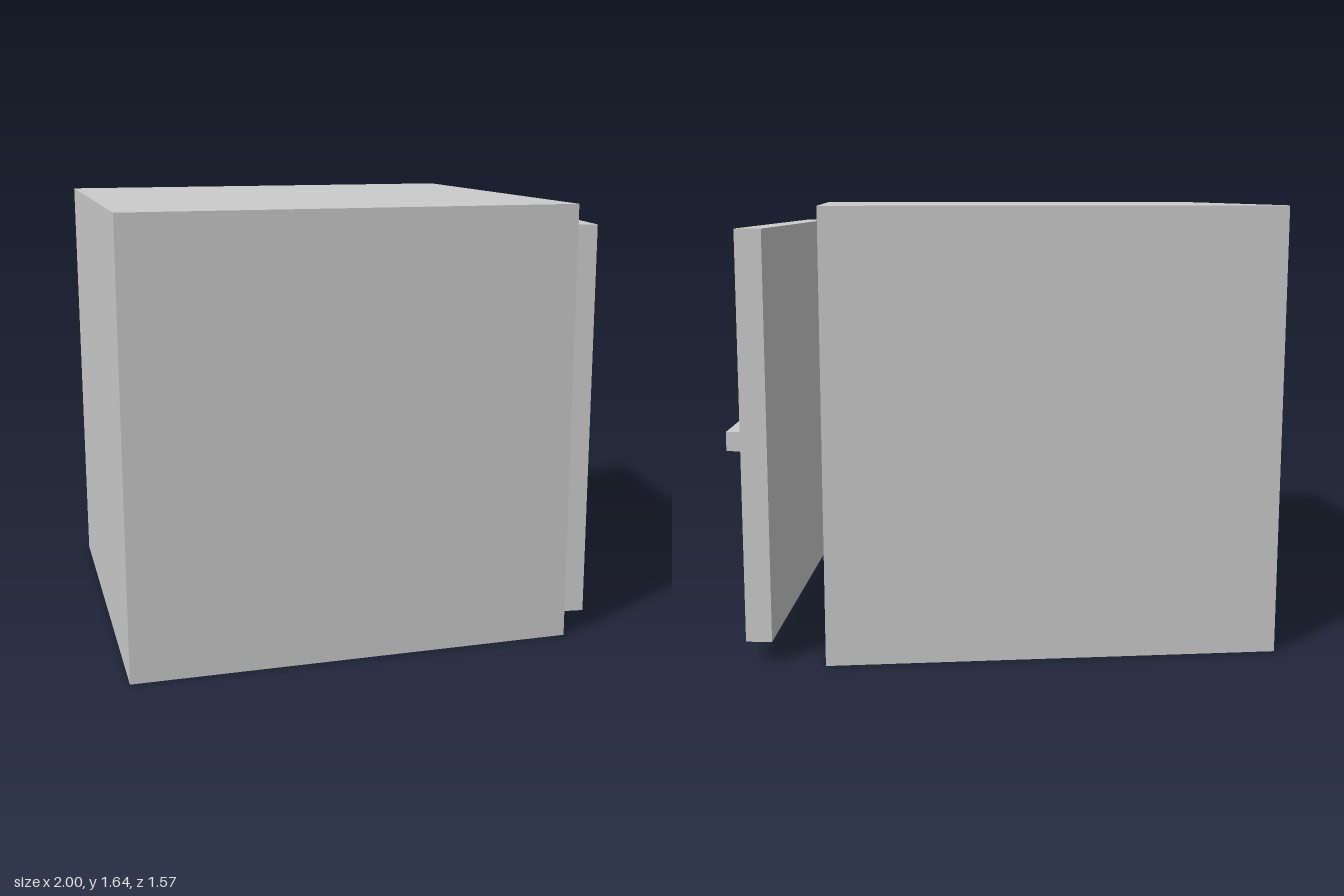
import * as THREE from 'three';

const W = 1.655, H = 1.64, D = 1.57, T = 0.08; // cabinet size and wall thickness

export function createModel() {
  const model = new THREE.Group();
  const grey = new THREE.MeshStandardMaterial({ color: 0xcccccc, flatShading: true });

  const add = (parent, name, geometry, x, y, z) => {
    const mesh = new THREE.Mesh(geometry, grey);
    mesh.name = name;
    mesh.position.set(x, y, z);
    parent.add(mesh);
    return mesh;
  };

  const rectangle = (Type, w, h) => new Type([
    new THREE.Vector2(-w / 2, -h / 2), new THREE.Vector2(w / 2, -h / 2),
    new THREE.Vector2(w / 2, h / 2), new THREE.Vector2(-w / 2, h / 2),
  ]);

  // Hollow cabinet, open towards +x
  const cabinet = new THREE.Group();
  cabinet.name = 'cabinet';
  const frame = rectangle(THREE.Shape, D, H);
  frame.holes.push(rectangle(THREE.Path, D - 2 * T, H - 2 * T));
  const walls = new THREE.ExtrudeGeometry(frame, { depth: W, bevelEnabled: false });
  walls.rotateY(Math.PI / 2);
  add(cabinet, 'cabinetWalls', walls, -1, H / 2, 0);
  add(cabinet, 'cabinetBackPanel', new THREE.BoxGeometry(T, H - 2 * T, D - 2 * T), -1 + T / 2, H / 2, 0);
  model.add(cabinet);

  // Door standing ajar, hinged at the front edge
  const door = new THREE.Group();
  door.name = 'door';
  door.position.set(0.798, H / 2, 0.01);
  door.rotation.y = -0.132;
  add(door, 'doorPanel', new THREE.BoxGeometry(0.095, 1.484, 1.483), 0, 0, 0);

  // Bar handle, very slightly tilted
  const handle = add(door, 'doorHandle', new THREE.BoxGeometry(0.064, 0.07, 0.475), 0.079, -0.013, -0.445);
  handle.rotation.x = -0.013;
  model.add(door);

  return model;
}
